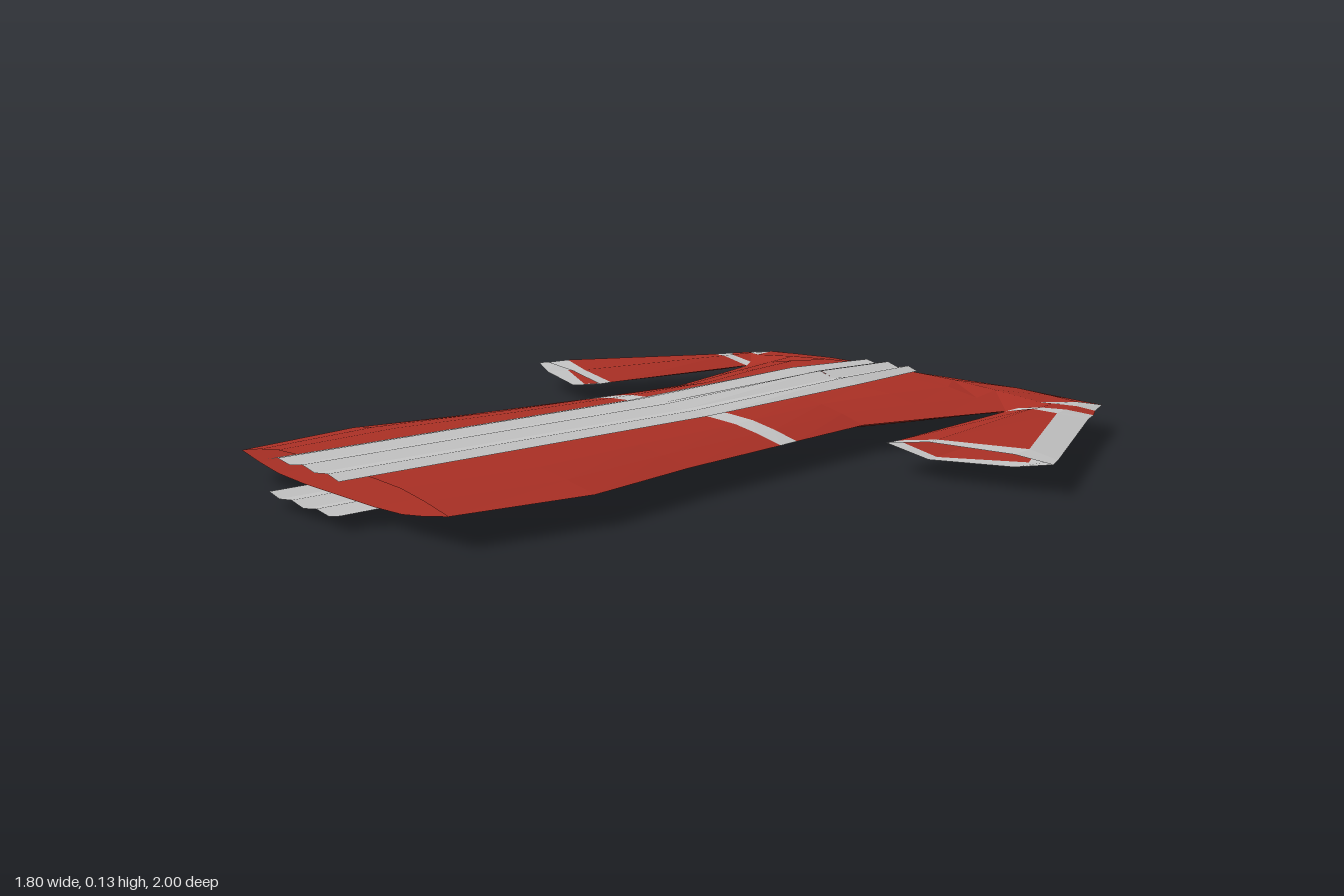
import * as THREE from 'three';

const MID = 0.07; // height of the side seams
const red = new THREE.MeshStandardMaterial({ color: 0xab3025, flatShading: true, side: THREE.DoubleSide });
red.name = 'red cloth';
const grey = new THREE.MeshStandardMaterial({ color: 0xc6c6c6, flatShading: true, side: THREE.DoubleSide });
grey.name = 'pale grey trim';

// Skin a sheet across rows of [x, z, h] points; h is the distance from the seam plane.
// The sheet is mirrored left/right and to the upper and lower layers.
function sheet(rows, from = 0, to = rows[0].length - 1) {
  const pos = [];
  for (const sx of [1, -1]) for (const sy of [1, -1]) {
    const tri = (...pts) => {
      const [a, b, c] = pts.map(([x, z, h]) => new THREE.Vector3(x * sx, MID + h * sy, z));
      const n = b.clone().sub(a).cross(c.clone().sub(a));
      if (n.length() < 1e-7) return;
      for (const p of n.y * sy > 0 ? [a, b, c] : [a, c, b]) pos.push(p.x, p.y, p.z);
    };
    for (let i = 0; i + 1 < rows.length; i++) for (let j = from; j < to; j++) {
      const a = rows[i][j], b = rows[i][j + 1], c = rows[i + 1][j + 1], d = rows[i + 1][j];
      tri(a, b, c);
      tri(a, c, d);
    }
  }
  const g = new THREE.BufferGeometry();
  g.setAttribute('position', new THREE.Float32BufferAttribute(pos, 3));
  g.computeVertexNormals();
  return g;
}

// Body cross-section at z with half width w and half thickness h
const bodyRow = (z, w, h) => [
  [0, z, h], [0.14, z, h], [0.6 * w, z, 0.87 * h], [0.8 * w, z, 0.5 * h], [w, z, 0],
];

// Pleated front panel cross-section; gap opens the slit at the middle
const panelRow = (z, w, h, depth, gap = 0) =>
  [[0, 0], [0.35, 0.8], [0.7, 0.2], [1, 1]].map(([t, d]) => [Math.max(gap, t * w), z, h - depth * d]);

export function createModel() {
  const robe = new THREE.Group();
  robe.name = 'robe';
  const add = (name, material, ...args) => {
    const m = new THREE.Mesh(sheet(...args), material);
    m.name = name;
    robe.add(m);
  };

  // Chest, belt and skirt
  const chestTop = [[0, -0.8, 0.042], [0.1, -0.8, 0.042], [0.22, -0.8, 0.039], [0.36, -0.8, 0.03], [0.5, -0.8, 0.018]];
  const beltTop = bodyRow(-0.07, 0.363, 0.032), beltEnd = bodyRow(-0.01, 0.37, 0.031);
  add('chest', red, [chestTop, bodyRow(-0.715, 0.46, 0.043), bodyRow(-0.53, 0.402, 0.043),
    bodyRow(-0.32, 0.34, 0.037), beltTop]);
  add('belt', grey, [beltTop, beltEnd]);
  add('skirt', red, [beltEnd, bodyRow(0.3, 0.4, 0.03), bodyRow(0.6, 0.45, 0.03), bodyRow(0.92, 0.4, 0.03)]);

  // Shoulders and neckline
  add('shoulders', red, [
    [[0.254, -1, 0], [0.36, -0.99, 0], [0.46, -0.977, 0], [0.57, -0.965, 0]],
    [[0.233, -0.935, 0.014], [0.33, -0.93, 0.016], [0.45, -0.915, 0.014], [0.543, -0.9, 0.012]],
    chestTop.slice(1),
  ]);
  add('neckTrim', grey, [
    [[0.254, -1, 0], [0.16, -0.9, 0.021], [0.063, -0.8, 0.042]],
    [[0.254, -1, 0], [0.233, -0.935, 0.014], [0.1, -0.8, 0.042]],
  ]);

  // Sleeves, from shoulder stripe to cuff
  const s = [
    [[0.57, -0.965, 0], [0.543, -0.9, 0.012], [0.5, -0.8, 0.018], [0.5, -0.8, 0.018]],
    [[0.605, -0.885, 0], [0.575, -0.85, 0.012], [0.535, -0.805, 0.019], [0.5, -0.8, 0.018]],
    [[0.635, -0.835, 0], [0.59, -0.785, 0.014], [0.545, -0.74, 0.019], [0.473, -0.745, 0.006]],
    [[0.655, -0.785, 0], [0.605, -0.725, 0.015], [0.545, -0.705, 0.02], [0.46, -0.715, 0]],
    [[0.88, -0.35, 0], [0.81, -0.34, 0.015], [0.625, -0.25, 0.02], [0.51, -0.25, 0]],
    [[0.9, -0.305, 0], [0.82, -0.275, 0.014], [0.63, -0.215, 0.02], [0.51, -0.21, 0]],
  ];
  add('shoulderStripe', grey, [s[0], s[1]]);
  add('upperSleeve', red, [s[1], s[2]]);
  add('armStripe', grey, [s[2], s[3]]);
  add('sleeve', red, [s[3], s[4]], 1, 3);
  add('sleeveEdge', grey, [s[3], s[4]], 0, 1);
  add('cuff', grey, [s[4], s[5]]);

  // Long pleated panels, one on each layer
  add('panel', grey, [
    panelRow(-0.795, 0.105, 0.06, 0.013, 0.002), panelRow(-0.53, 0.14, 0.065, 0.017, 0.002),
  ]);
  add('panelLower', grey, [
    panelRow(-0.53, 0.14, 0.065, 0.017), panelRow(0, 0.14, 0.046, 0.011), panelRow(1, 0.14, 0.046, 0.011),
  ]);

  return robe;
}
